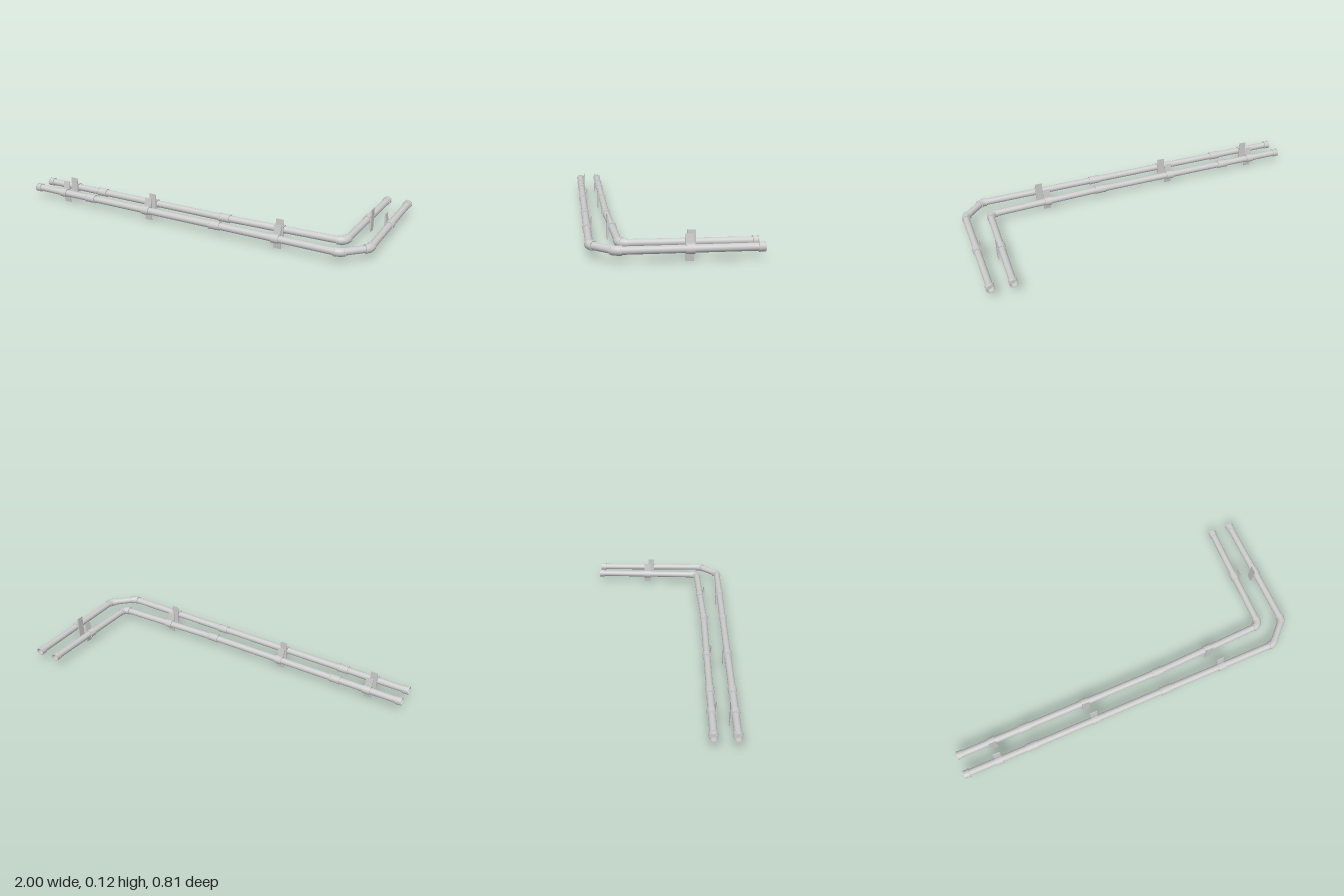
import * as THREE from 'three';

const R = 0.0185;   // pipe radius
const Y = 0.0625;   // pipe axis height
const SEG = 24;
const mat = new THREE.MeshStandardMaterial({ color: 0xcccccc, side: THREE.DoubleSide });
const v = ([x, z]) => new THREE.Vector3(x, Y, z);

// Solid turned around the local x axis; every profile span keeps its own sharp edges
function turned(name, profile) {
  const g = new THREE.Group();
  g.name = name;
  for (let i = 0; i < profile.length - 1; i++) {
    const pts = [profile[i], profile[i + 1]].map(([x, r]) => new THREE.Vector2(r, x));
    const geo = new THREE.LatheGeometry(pts, SEG);
    geo.rotateZ(-Math.PI / 2);
    const m = new THREE.Mesh(geo, mat);
    m.name = name + 'Surface';
    g.add(m);
  }
  return g;
}

// Sets an object at p with its local x axis along d
function place(obj, p, d) {
  obj.position.copy(p);
  obj.rotation.y = Math.atan2(-d.z, d.x);
  return obj;
}

// Sleeve with a raised lip at both ends
function coupling(len) {
  const h = len / 2, l = 0.005;
  return turned('coupling', [[-h, R], [-h, 0.0235], [-h + l, 0.0235], [-h + l, 0.0222],
    [h - l, 0.0222], [h - l, 0.0235], [h, 0.0235], [h, R]]);
}

// Open socket on a pipe end; its mouth is at x = 0 and faces +x
function endSocket() {
  return turned('endSocket', [[-0.031, R], [-0.031, 0.0235], [-0.025, 0.0235], [-0.025, 0.0222],
    [-0.006, 0.0222], [-0.006, 0.0235], [0, 0.0235], [0, 0.0185], [-0.028, 0.0185], [-0.028, 0]]);
}

// Band around the pipe with an upright wall plate on one side
function clamp(side) {
  const g = new THREE.Group();
  g.name = 'clamp';
  g.add(turned('clampBand', [[-0.02, R], [-0.02, 0.0235], [0.02, 0.0235], [0.02, R]]));
  const s = new THREE.Shape([[0.025, -Y], [0.025, Y], [0.0215, Y], [0.015, 0.02],
    [0.015, -0.02], [0.0215, -Y]].map(([z, y]) => new THREE.Vector2(z, y)));
  const geo = new THREE.ExtrudeGeometry(s, { depth: 0.04, bevelEnabled: false });
  geo.translate(0, 0, -0.02);
  geo.rotateY(-Math.PI / 2); // profile z now lies along +z
  const plate = new THREE.Mesh(geo, mat);
  plate.name = 'wallPlate';
  if (side < 0) plate.rotation.y = Math.PI;
  g.add(plate);
  return g;
}

// Smooth bend over a corner with a lip at each mouth
function elbow(a, corner, b, len) {
  const g = new THREE.Group();
  g.name = 'elbow';
  const d1 = corner.clone().sub(a).normalize(), d2 = b.clone().sub(corner).normalize();
  const p1 = corner.clone().addScaledVector(d1, -len), p2 = corner.clone().addScaledVector(d2, len);
  const bend = new THREE.Mesh(new THREE.TubeGeometry(
    new THREE.QuadraticBezierCurve3(p1, corner, p2), 12, 0.0225, SEG), mat);
  bend.name = 'elbowBend';
  g.add(bend);
  for (const [p, d] of [[p1, d1], [p2, d2]])
    g.add(place(turned('elbowLip', [[-0.003, R], [-0.003, 0.0235], [0.003, 0.0235], [0.003, R]]), p, d));
  return g;
}

// One complete pipe line: points are [x, z]; fittings are [segment, distance along it]
function pipeLine(name, points, { couplings, clamps, bends, side }) {
  const g = new THREE.Group();
  g.name = name;
  const P = points.map(v);
  const dir = i => P[i + 1].clone().sub(P[i]).normalize();
  const at = (i, t) => P[i].clone().addScaledVector(dir(i), t);
  const last = P.length - 1;
  for (let i = 0; i < last; i++) {
    const from = i === 0 ? at(0, 0.028) : P[i];
    const to = i === last - 1 ? at(i, P[i].distanceTo(P[last]) - 0.028) : P[i + 1];
    const len = from.distanceTo(to);
    const geo = new THREE.CylinderGeometry(R, R, len, SEG, 1, true).rotateZ(-Math.PI / 2);
    const pipe = new THREE.Mesh(geo, mat);
    pipe.name = 'pipe';
    g.add(place(pipe, from.clone().add(to).multiplyScalar(0.5), dir(i)));
  }
  g.add(place(endSocket(), P[0], dir(0).negate()));
  g.add(place(endSocket(), P[last], dir(last - 1)));
  for (const [i, t] of couplings) g.add(place(coupling(0.06), at(i, t), dir(i)));
  for (const [i, t] of clamps) g.add(place(clamp(side), at(i, t), dir(i)));
  for (const [i, len] of bends) g.add(elbow(P[i - 1], P[i], P[i + 1], len));
  return g;
}

export function createModel() {
  const root = new THREE.Group();
  root.name = 'pipeRun';
  // Outer line, turning the corner with two separate bends
  root.add(pipeLine('outerPipe', [[-1, 0.379], [0.862, 0.379], [0.975, 0.266], [0.975, -0.402]], {
    couplings: [[0, 0.39], [0, 1.187]],
    clamps: [[0, 0.2], [0, 0.762], [0, 1.53], [2, 0.328]],
    bends: [[1, 0.022], [2, 0.022]],
    side: -1,
  }));
  // Inner line, slightly slanted past the second coupling
  root.add(pipeLine('innerPipe',
    [[-1, 0.267], [0.187, 0.267], [0.824, 0.244], [0.843, 0.222], [0.86, -0.402]], {
      couplings: [[0, 0.39], [0, 1.187]],
      clamps: [[0, 0.2], [0, 0.745], [1, 0.318], [3, 0.307]],
      bends: [[2, 0.016], [3, 0.016]],
      side: 1,
    }));
  return root;
}
